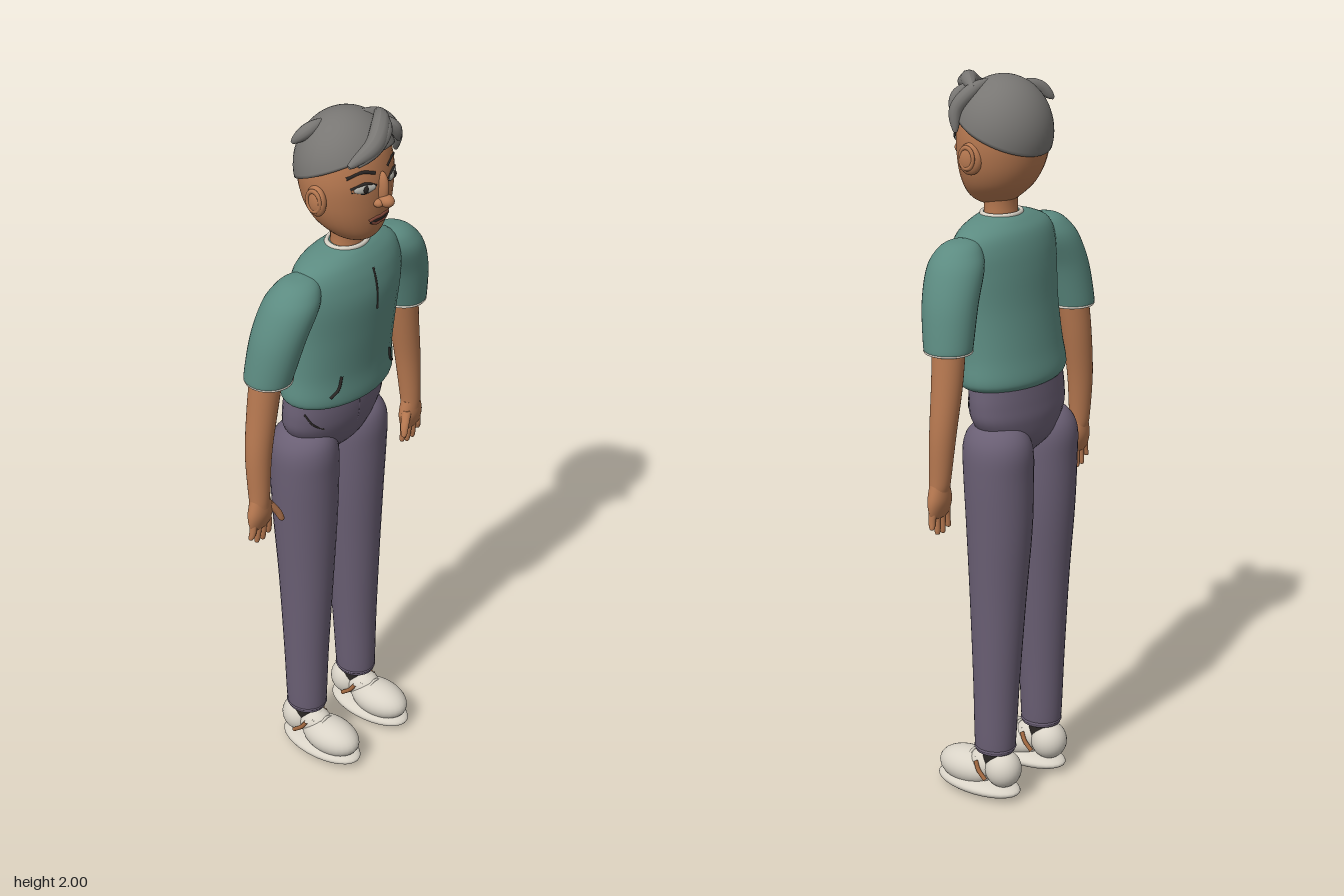
import * as THREE from 'three';

const mat = (name, color, side = THREE.FrontSide) => {
  const m = new THREE.MeshStandardMaterial({ color, side });
  m.name = name;
  return m;
};
const V = (a) => new THREE.Vector3(...a);

// Smooth body through horizontal ellipse rings [x, y, z, rx, rz], listed bottom to top, capped at both ends
function loft(rings, steps = 6, sides = 32) {
  const centre = new THREE.CatmullRomCurve3(rings.map((r) => V(r.slice(0, 3))), false, 'catmullrom');
  const radius = new THREE.CatmullRomCurve3(rings.map((r) => V([r[3], r[4], 0])), false, 'catmullrom');
  const n = (rings.length - 1) * steps;
  const rows = [];
  for (let i = 0; i <= n; i++) rows.push([centre.getPoint(i / n), radius.getPoint(i / n)]);
  const zero = new THREE.Vector3();
  const all = [[rows[0][0], zero], rows[0], ...rows, rows[n], [rows[n][0], zero]];
  const pos = [], idx = [];
  all.forEach(([c, r], i) => {
    for (let j = 0; j < sides; j++) {
      const a = (j / sides) * Math.PI * 2;
      pos.push(c.x + Math.max(r.x, 0) * Math.sin(a), c.y, c.z + Math.max(r.y, 0) * Math.cos(a));
      if (i === all.length - 1 || i === 1 || i === all.length - 3) continue;
      const p = i * sides + j, q = i * sides + ((j + 1) % sides);
      idx.push(p, q, q + sides, p, q + sides, p + sides);
    }
  });
  const g = new THREE.BufferGeometry();
  g.setAttribute('position', new THREE.Float32BufferAttribute(pos, 3));
  g.setIndex(idx);
  g.computeVertexNormals();
  return g;
}

// Front z of a lofted body at (x, y)
function frontZ(rings, x, y) {
  let i = 0;
  while (i < rings.length - 2 && rings[i + 1][1] < y) i++;
  const a = rings[i], b = rings[i + 1], t = (y - a[1]) / (b[1] - a[1]);
  const mix = (k) => a[k] + (b[k] - a[k]) * t;
  return mix(2) + mix(4) * Math.sqrt(Math.max(0, 1 - (x / mix(3)) ** 2));
}

// Tapered tube, used for hair locks
function lock(points, r) {
  const curve = new THREE.CatmullRomCurve3(points.map(V)), n = 24, k = 12;
  const g = new THREE.TubeGeometry(curve, n, r, k), p = g.attributes.position, v = new THREE.Vector3();
  for (let i = 0; i <= n; i++) {
    const c = curve.getPointAt(i / n), s = Math.pow(Math.sin(Math.PI * (0.03 + 0.94 * (i / n))), 0.6);
    for (let j = 0; j <= k; j++) {
      v.fromBufferAttribute(p, i * (k + 1) + j).sub(c).multiplyScalar(s).add(c);
      p.setXYZ(i * (k + 1) + j, v.x, v.y, v.z);
    }
  }
  g.computeVertexNormals();
  return g;
}

export function createModel() {
  const model = new THREE.Group();
  const shirt = mat('shirt green', 0x5c8b81), trousers = mat('trouser purple', 0x6a5f74);
  const skin = mat('skin', 0xb67850), hair = mat('hair grey', 0x787673, THREE.DoubleSide);
  const cream = mat('cream', 0xd9d3c7), dark = mat('dark line', 0x2b2725);
  const eyeGrey = mat('eye grey', 0xb9b8b0), lip = mat('lip', 0x84493a), tan = mat('tan accent', 0xa0673f);

  const add = (name, geo, m, parent = model) => {
    const mesh = new THREE.Mesh(geo, m);
    mesh.name = name;
    parent.add(mesh);
    return mesh;
  };
  const ball = (name, c, r, m, parent) => {
    const mesh = add(name, new THREE.SphereGeometry(1, 28, 20), m, parent);
    mesh.position.set(...c);
    mesh.scale.set(...r);
    return mesh;
  };
  const tube = (name, pts, r, m, parent) =>
    add(name, new THREE.TubeGeometry(new THREE.CatmullRomCurve3(pts.map(V)), 12, r, 8), m, parent);
  const drawn = (name, rings, pts, r, m) => tube(name, pts.map(([x, y]) => [x, y, frontZ(rings, x, y)]), r, m);
  const ring = (name, c, rx, rz, r, m) => {
    const mesh = add(name, new THREE.TorusGeometry(1, r / rx, 8, 36), m);
    mesh.position.set(...c);
    mesh.rotation.x = Math.PI / 2;
    mesh.scale.set(rx, rz, rx);
    return mesh;
  };

  // Shirt body
  const torso = [[0, 1.193, -0.03, 0.16, 0.1], [0, 1.202, -0.03, 0.178, 0.111], [0, 1.225, -0.03, 0.186, 0.115],
    [0, 1.29, -0.024, 0.178, 0.11], [0, 1.4, -0.01, 0.177, 0.109], [0, 1.5, -0.001, 0.185, 0.109],
    [0, 1.56, 0, 0.184, 0.1], [0, 1.6, 0, 0.165, 0.085], [0, 1.625, 0.003, 0.115, 0.065], [0, 1.64, 0.006, 0.055, 0.045]];
  add('shirtBody', loft(torso), shirt);
  ring('collar', [0, 1.637, 0.006], 0.058, 0.048, 0.007, cream);
  drawn('placketLine', torso, [[0, 1.585], [0, 1.53], [0, 1.47]], 0.004, dark);

  // Hips
  const hips = [[0, 0.99, -0.055, 0.02, 0.03], [0, 1.04, -0.055, 0.11, 0.075], [0, 1.1, -0.05, 0.163, 0.092],
    [0, 1.15, -0.045, 0.172, 0.095], [0, 1.21, -0.042, 0.166, 0.092]];
  add('hips', loft(hips), trousers);
  drawn('flyLine', hips, [[0, 1.18], [0, 1.12], [0, 1.06]], 0.002, trousers);

  // Neck and head
  add('neck', loft([[0, 1.6, 0.005, 0.052, 0.045], [0, 1.66, 0.008, 0.048, 0.042], [0, 1.72, 0.008, 0.055, 0.05]]), skin);
  const head = [[0, 1.657, 0.032, 0, 0], [0, 1.663, 0.031, 0.036, 0.042], [0, 1.685, 0.026, 0.068, 0.072],
    [0, 1.725, 0.013, 0.1, 0.098], [0, 1.78, 0.004, 0.12, 0.114], [0, 1.85, 0, 0.126, 0.119],
    [0, 1.92, 0, 0.109, 0.102], [0, 1.965, 0, 0.067, 0.062], [0, 1.98, 0, 0, 0]];
  add('head', loft(head), skin);
  ball('noseBridge', [0, 1.82, 0.118], [0.014, 0.045, 0.02], skin);
  ball('noseTip', [0, 1.789, 0.132], [0.018, 0.017, 0.023], skin);
  const lips = (name, w, y, dy, r, m) => drawn(name, head, [[-w, y], [-w / 2, y + dy], [0, y + dy * 0.8], [w / 2, y + dy], [w, y]], r, m);
  lips('upperLip', 0.036, 1.736, 0.005, 0.005, lip);
  lips('lowerLip', 0.03, 1.734, -0.008, 0.006, lip);
  lips('mouthLine', 0.036, 1.735, -0.001, 0.0055, dark);

  // Hair cap: the hairline is high at the front and low at the back
  const cap = new THREE.SphereGeometry(1, 48, 24), cp = cap.attributes.position, uv = cap.attributes.uv;
  for (let i = 0; i < cp.count; i++) {
    const a = uv.getX(i) * Math.PI * 2, v = 1 - uv.getY(i);
    const t = Math.min(v / 0.95, 1) * (1.5 - 0.4 * Math.sin(a)), s = v > 0.97 ? 0.9 : 1;
    cp.setXYZ(i, -0.135 * s * Math.cos(a) * Math.sin(t), 1.85 + 0.147 * Math.cos(t), 0.128 * s * Math.sin(a) * Math.sin(t));
  }
  cap.computeVertexNormals();
  add('hairCap', cap, hair);
  const locks = [
    [[[0.09, 1.972, 0.03], [0.03, 1.978, 0.088], [-0.04, 1.95, 0.122], [-0.112, 1.915, 0.105]], 0.025],
    [[[0.075, 1.98, 0.05], [0.02, 1.968, 0.112], [-0.04, 1.94, 0.128], [-0.095, 1.915, 0.12]], 0.017],
    [[[0.03, 1.985, 0.02], [0.085, 1.96, 0.04], [0.112, 1.915, 0.066], [0.124, 1.86, 0.06]], 0.02],
    [[[0.05, 1.975, 0.06], [0.085, 1.945, 0.085], [0.105, 1.9, 0.085]], 0.016],
    [[[-0.115, 1.925, -0.075], [-0.092, 1.953, -0.05], [-0.045, 1.975, -0.03]], 0.018],
  ];
  locks.forEach(([pts, r], i) => add('hairLock' + (i + 1), lock(pts, r), hair));

  // Paired parts
  for (const [s, side] of [[1, 'left'], [-1, 'right']]) {
    const flip = (rings) => rings.map(([x, ...rest]) => [x * s, ...rest]);
    const N = (part) => side + part;

    // Eyes, brows and ears
    const face = (name, pts, r, m) => drawn(N(name), head, flip(pts), r, m);
    const eyeZ = frontZ(head, 0.053, 1.834);
    const eye = ball(N('Eye'), [0.053 * s, 1.834, eyeZ], [0.03, 0.012, 0.006], eyeGrey);
    eye.rotation.y = 0.45 * s;
    ball(N('Iris'), [0.053 * s, 1.834, eyeZ + 0.005], [0.01, 0.01, 0.004], dark);
    face('UpperLid', [[0.022, 1.835], [0.052, 1.848], [0.085, 1.837]], 0.004, dark);
    face('LowerLid', [[0.024, 1.829], [0.052, 1.82], [0.083, 1.829]], 0.002, dark);
    face('Brow', [[0.022, 1.868], [0.055, 1.878], [0.09, 1.866]], 0.005, dark);
    ball(N('Nostril'), [0.017 * s, 1.785, 0.12], [0.012, 0.011, 0.014], skin);
    ball(N('Ear'), [0.124 * s, 1.798, 0.012], [0.019, 0.042, 0.033], skin).rotation.y = 0.25 * s;
    const earFold = add(N('EarFold'), new THREE.TorusGeometry(0.021, 0.005, 8, 24), skin);
    earFold.position.set(0.138 * s, 1.802, 0.014);
    earFold.rotation.y = Math.PI / 2;
    earFold.scale.y = 1.3;

    // Sleeve with cream hem
    add(N('Sleeve'), loft(flip([[0.27, 1.333, -0.027, 0.06, 0.062], [0.269, 1.35, -0.026, 0.063, 0.066],
      [0.245, 1.45, -0.014, 0.07, 0.074], [0.21, 1.53, -0.004, 0.074, 0.075], [0.19, 1.572, 0, 0.062, 0.06],
      [0.178, 1.595, 0, 0.04, 0.036], [0.17, 1.603, 0, 0, 0]])), shirt);
    ring(N('SleeveHem'), [0.27 * s, 1.334, -0.027], 0.059, 0.061, 0.004, cream);

    // Arm and hand
    add(N('Arm'), loft(flip([[0.313, 0.96, -0.027, 0.03, 0.024], [0.313, 1.0, -0.03, 0.029, 0.029],
      [0.306, 1.12, -0.035, 0.036, 0.035], [0.287, 1.25, -0.035, 0.041, 0.041], [0.27, 1.37, -0.03, 0.044, 0.044]])), skin);
    add(N('Palm'), loft(flip([[0.314, 0.894, -0.028, 0.025, 0.01], [0.314, 0.905, -0.028, 0.038, 0.015],
      [0.313, 0.94, -0.028, 0.042, 0.024], [0.313, 0.985, -0.028, 0.029, 0.024]])), skin);
    for (let f = 0; f < 4; f++) {
      const x0 = 0.286 + f * 0.018, x1 = 0.281 + f * 0.0225, tip = [0.855, 0.846, 0.848, 0.866][f];
      add(N('Finger' + (f + 1)), loft(flip([[x1, tip, -0.03, 0, 0], [x1, tip + 0.004, -0.03, 0.007, 0.007],
        [(x0 + x1) / 2, 0.89, -0.027, 0.009, 0.01], [x0, 0.925, -0.028, 0.01, 0.012]]), 4, 12), skin);
    }
    add(N('Thumb'), loft(flip([[0.256, 0.893, -0.004, 0, 0], [0.257, 0.898, -0.004, 0.008, 0.008],
      [0.267, 0.925, -0.01, 0.011, 0.012], [0.29, 0.96, -0.022, 0.014, 0.014]]), 4, 14), skin);

    // Trouser leg and cuff
    add(N('Leg'), loft(flip([[0.108, 0.142, -0.052, 0.047, 0.051], [0.108, 0.165, -0.053, 0.054, 0.058],
      [0.105, 0.35, -0.055, 0.062, 0.065], [0.1, 0.6, -0.057, 0.075, 0.078], [0.098, 0.8, -0.06, 0.087, 0.09],
      [0.1, 0.95, -0.059, 0.092, 0.095], [0.102, 1.03, -0.058, 0.088, 0.096], [0.103, 1.075, -0.055, 0.068, 0.08],
      [0.103, 1.098, -0.053, 0.038, 0.045], [0.103, 1.105, -0.053, 0, 0]])), trousers);
    ring(N('Cuff'), [0.108 * s, 0.155, -0.053], 0.052, 0.055, 0.004, trousers);

    // Pocket lines on shirt and trousers
    drawn(N('ShirtPocket'), torso, flip([[0.125, 1.235], [0.105, 1.255], [0.096, 1.295]]), 0.004, dark);
    drawn(N('TrouserPocket'), hips, flip([[0.157, 1.175], [0.14, 1.14], [0.112, 1.118]]), 0.003, dark);

    // Shoe
    const shoe = new THREE.Group();
    shoe.name = N('Shoe');
    shoe.position.x = 0.108 * s;
    model.add(shoe);
    ball('sole', [0, 0.026, 0.003], [0.067, 0.026, 0.134], cream, shoe);
    ball('toe', [0, 0.068, 0.037], [0.06, 0.052, 0.094], cream, shoe);
    ball('heel', [0, 0.09, -0.08], [0.05, 0.054, 0.052], cream, shoe);
    ball('tongue', [0, 0.09, -0.022], [0.042, 0.042, 0.055], cream, shoe);
    add('ankle', new THREE.CylinderGeometry(0.036, 0.036, 0.06, 24), dark, shoe).position.set(0, 0.12, -0.055);
    for (const e of [1, -1]) {
      tube('sideAccent', [[0.044 * e, 0.112, -0.018], [0.05 * e, 0.09, -0.032], [0.053 * e, 0.068, -0.058]], 0.006, tan, shoe);
    }
    for (const [y, z] of [[0.121, 0.02], [0.127, -0.005]]) {
      tube('lace', [[-0.03, y - 0.014, z], [0, y, z], [0.03, y - 0.014, z]], 0.004, cream, shoe);
    }
  }
  return model;
}
